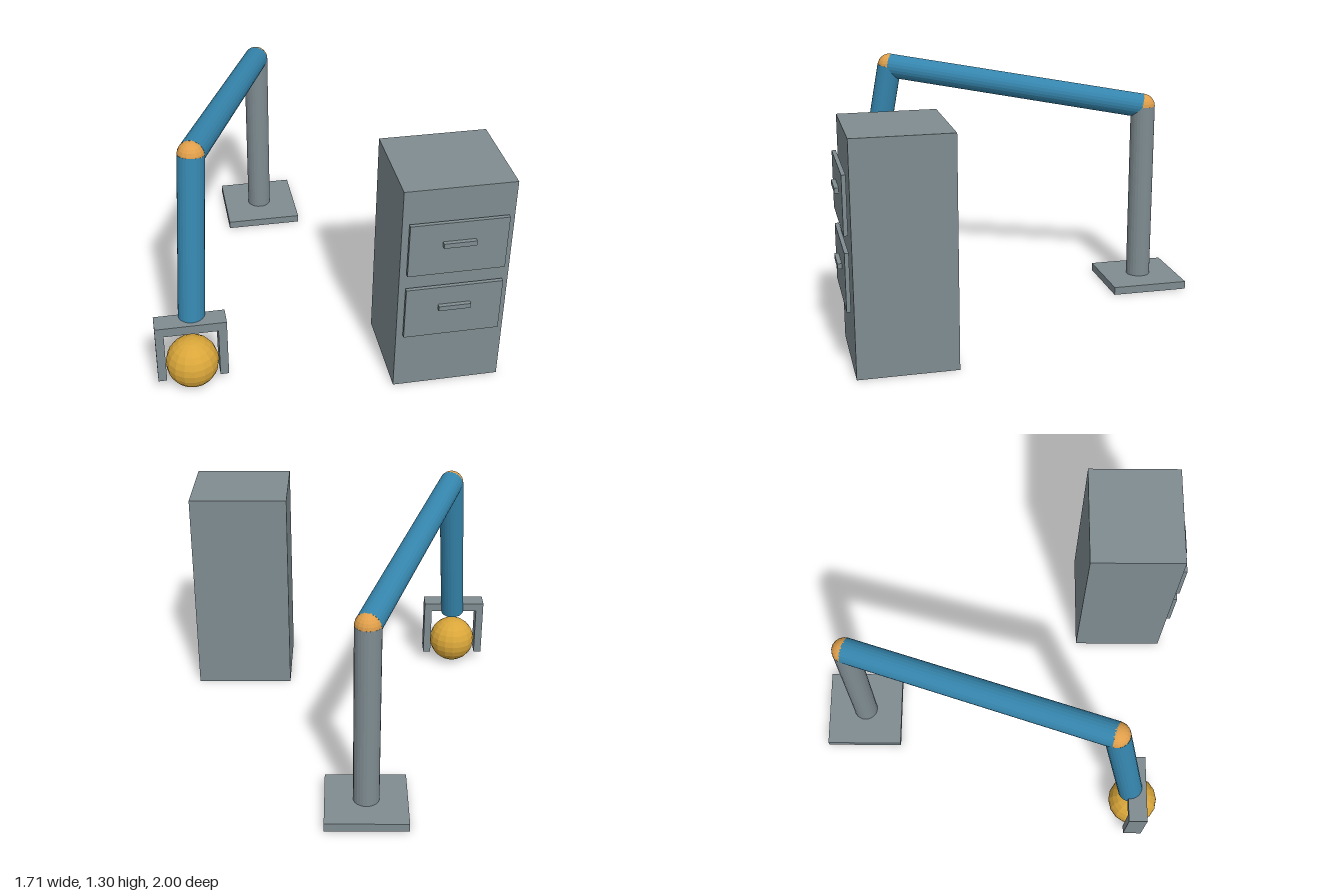
import * as THREE from 'three';

const ARM_R = 0.067;

export function createModel() {
  const model = new THREE.Group();
  model.name = 'robotArmAndCabinet';

  const material = (name, color) => {
    const m = new THREE.MeshStandardMaterial({ color, flatShading: true });
    m.name = name;
    return m;
  };
  const grey = material('steelGrey', 0x7f8c91);
  const blue = material('armBlue', 0x3585ad);
  const orange = material('jointOrange', 0xe09f4b);
  const gold = material('ballGold', 0xd9a63a);

  const add = (name, geometry, mat, parent = model) => {
    const mesh = new THREE.Mesh(geometry, mat);
    mesh.name = name;
    parent.add(mesh);
    return mesh;
  };

  // Box given by its lower and upper corners
  const box = (name, x0, x1, y0, y1, z0, z1, parent) => {
    const mesh = add(name, new THREE.BoxGeometry(x1 - x0, y1 - y0, z1 - z0), grey, parent);
    mesh.position.set((x0 + x1) / 2, (y0 + y1) / 2, (z0 + z1) / 2);
    return mesh;
  };

  // Cylinder running between two points
  const rod = (name, from, to, mat) => {
    const dir = to.clone().sub(from);
    const mesh = add(name, new THREE.CylinderGeometry(ARM_R, ARM_R, dir.length(), 24), mat);
    mesh.position.copy(from).add(to).multiplyScalar(0.5);
    mesh.quaternion.setFromUnitVectors(new THREE.Vector3(0, 1, 0), dir.normalize());
    return mesh;
  };

  const ball = (name, centre, radius, mat) => {
    const mesh = add(name, new THREE.SphereGeometry(radius, 16, 12), mat);
    mesh.position.copy(centre);
    return mesh;
  };

  // Arm: base, post, two segments and their joints
  const foot = new THREE.Vector3(-0.122, 0.02, -0.79);
  const shoulder = new THREE.Vector3(-0.122, 1.03, -0.79);
  const elbow = new THREE.Vector3(-0.615, 1.23, 0.56);
  const wrist = new THREE.Vector3(-0.672, 0.345, 0.715);

  box('basePlate', -0.333, 0.09, 0, 0.043, -1, -0.58);
  rod('post', foot, shoulder, grey);
  rod('upperArm', shoulder, elbow, blue);
  rod('forearm', elbow, wrist, blue);
  ball('shoulderJoint', shoulder, ARM_R, orange);
  ball('elbowJoint', elbow, ARM_R, orange);

  // Gripper with two fingers around the ball
  const gripper = new THREE.Group();
  gripper.name = 'gripper';
  model.add(gripper);
  box('gripperBar', -0.858, -0.503, 0.35, 0.4, 0.697, 0.797, gripper);
  box('rightFinger', -0.858, -0.815, 0.07, 0.35, 0.697, 0.797, gripper);
  box('leftFinger', -0.546, -0.503, 0.07, 0.35, 0.697, 0.797, gripper);
  ball('heldBall', new THREE.Vector3(-0.68, 0.138, 0.747), 0.134, gold);

  // Filing cabinet with two drawers
  const cabinet = new THREE.Group();
  cabinet.name = 'cabinet';
  model.add(cabinet);
  box('cabinetBody', 0.312, 0.856, 0, 1.16, 0.455, 0.948, cabinet);
  for (const y of [0.33, 0.7]) {
    box('drawerFront', 0.343, 0.823, y, y + 0.287, 0.959, 0.979, cabinet);
    box('drawerHandle', 0.505, 0.665, y + 0.159, y + 0.185, 0.979, 1, cabinet);
  }

  return model;
}
